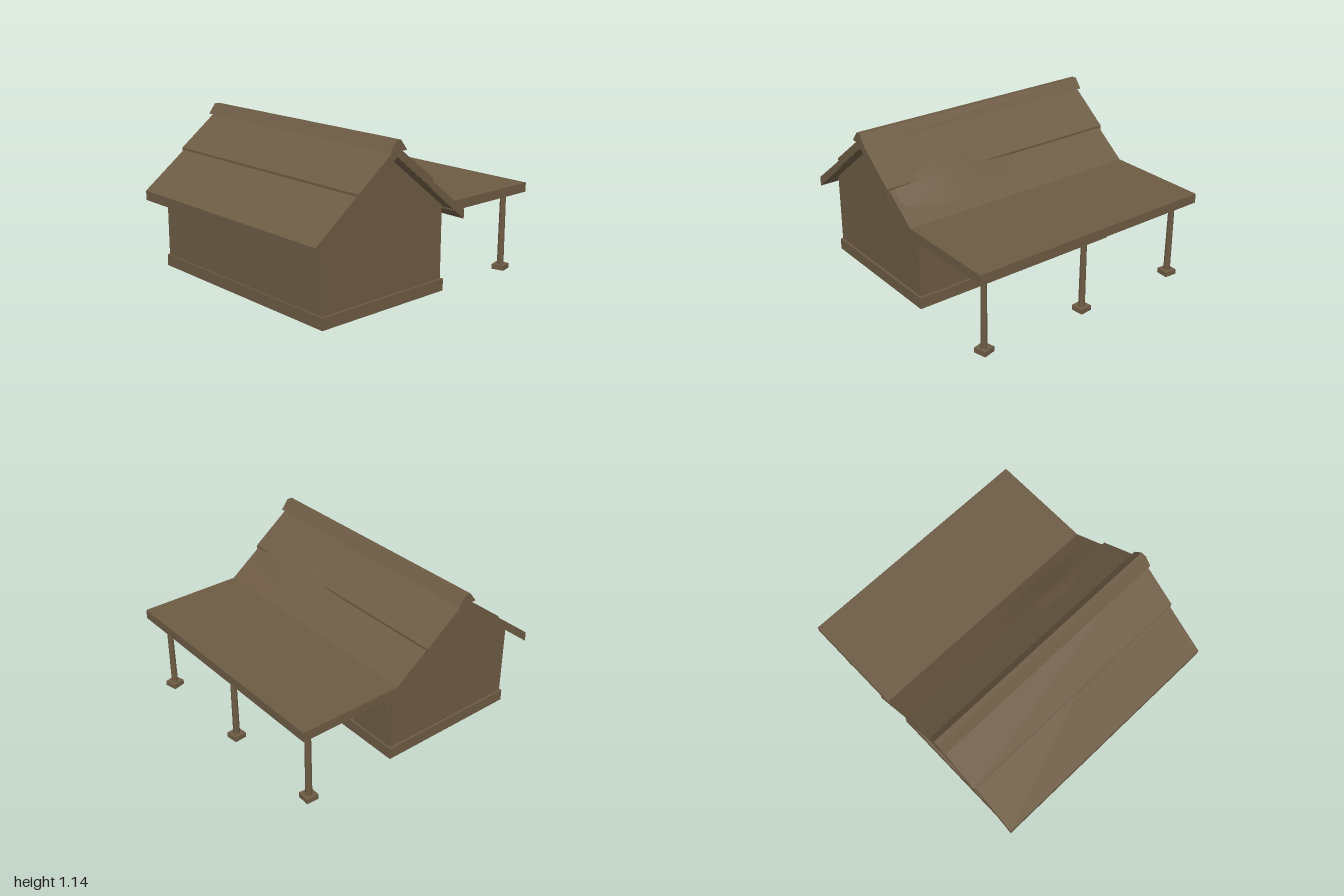
import * as THREE from 'three';

export function createModel() {
  const root = new THREE.Group();
  const wood = new THREE.MeshStandardMaterial({ color: 0x6d5b44, side: THREE.DoubleSide });
  wood.name = 'weatheredBrown';

  const add = (name, geo, x = 0, y = 0, z = 0) => {
    const m = new THREE.Mesh(geo, wood);
    m.name = name;
    m.position.set(x, y, z);
    root.add(m);
    return m;
  };
  // box given by its two extremes on every axis
  const box = (name, x0, x1, y0, y1, z0, z1) =>
    add(name, new THREE.BoxGeometry(x1 - x0, y1 - y0, z1 - z0), (x0 + x1) / 2, (y0 + y1) / 2, (z0 + z1) / 2);
  // profile of [z, y] points extruded along x
  const alongX = (name, pts, x0, x1) => {
    const shape = new THREE.Shape(pts.map(p => new THREE.Vector2(...p)));
    const geo = new THREE.ExtrudeGeometry(shape, { depth: x1 - x0, bevelEnabled: false });
    geo.rotateY(-Math.PI / 2).translate(x1, 0, 0);
    return add(name, geo);
  };
  const rect = (C, x0, x1, y0, y1) =>
    new C([[x0, y0], [x1, y0], [x1, y1], [x0, y1]].map(p => new THREE.Vector2(...p)));

  const MID = 0.335, BACK = -0.2, FRONT = 0.875, T = 0.04;

  // gable end walls
  const gable = [[BACK, 0], [FRONT, 0], [FRONT, 0.615], [MID, 1.045], [BACK, 0.615]];
  alongX('leftGableWall', gable, 0.85 - T, 0.85);
  alongX('rightGableWall', gable, -0.85, -0.85 + T);

  // long walls, the back one with a doorway and a window opening
  box('frontWall', -0.85 + T, 0.85 - T, 0, 0.615, FRONT - T, FRONT);
  const wall = rect(THREE.Shape, -0.85 + T, 0.85 - T, 0, 0.615);
  wall.holes.push(rect(THREE.Path, -0.46, -0.22, 0.08, 0.5), rect(THREE.Path, 0.27, 0.45, 0.36, 0.52));
  add('backWall', new THREE.ExtrudeGeometry(wall, { depth: T, bevelEnabled: false }), 0, 0, BACK);

  // window frame, bars and sill
  const frame = rect(THREE.Shape, 0.255, 0.465, 0.345, 0.53);
  frame.holes.push(rect(THREE.Path, 0.28, 0.44, 0.365, 0.51));
  add('windowFrame', new THREE.ExtrudeGeometry(frame, { depth: 0.04, bevelEnabled: false }), 0, 0, -0.211);
  box('windowBarUpright', 0.353, 0.367, 0.365, 0.51, -0.2, -0.18);
  box('windowBarCross', 0.28, 0.44, 0.431, 0.444, -0.2, -0.18);
  box('windowSill', 0.245, 0.475, 0.34, 0.352, -0.218, -0.19);

  // open-bottomed plinth around the walls
  const plinth = rect(THREE.Shape, -0.865, 0.865, -0.885, 0.215);
  plinth.holes.push(rect(THREE.Path, -0.835, 0.835, -0.855, 0.185));
  add('plinth', new THREE.ExtrudeGeometry(plinth, { depth: 0.085, bevelEnabled: false }).rotateX(-Math.PI / 2));

  // two overlapping roof layers and the ridge cap
  const chevron = (half, topEdge, topPeak, lowEdge, lowPeak) => [
    [MID + half, lowEdge], [MID + half, topEdge], [MID, topPeak],
    [MID - half, topEdge], [MID - half, lowEdge], [MID, lowPeak]];
  alongX('lowerRoof', chevron(0.665, 0.575, 1.08, 0.505, 1.03), -0.935, 0.935);
  alongX('upperRoof', chevron(0.33, 0.845, 1.098, 0.771, 1.031), -0.95, 0.95);
  alongX('ridgeCap', [[0.41, 1.068], [0.355, 1.14], [0.315, 1.14], [0.26, 1.068]], -0.96, 0.96);

  // uneven bulge in the back slope, sinking into the roof at its borders
  const sag = new THREE.PlaneGeometry(1.8, 0.5, 12, 8).rotateX(-Math.PI / 2).translate(0, 0, 0.04);
  const p = sag.attributes.position;
  for (let i = 0; i < p.count; i++) {
    const x = p.getX(i), z = p.getZ(i);
    const bulge = Math.exp(-(((x - 0.45) / 0.4) ** 2) - ((z - 0.02) / 0.13) ** 2);
    p.setY(i, 0.832 + z * 0.755 - 0.012 + 0.034 * bulge);
  }
  sag.computeVertexNormals();
  add('roofBulge', sag);

  // porch roof, beam and posts on square feet
  box('porchRoof', -0.935, 0.935, 0.58, 0.648, -1, -0.22);
  box('porchBeam', -0.9, 0.9, 0.568, 0.585, -0.905, -0.862);
  [-0.825, 0, 0.825].forEach((x, i) => {
    const post = add('porchPost', new THREE.CylinderGeometry(0.021, 0.024, 0.56, 8).toNonIndexed(), x, 0.3, -0.885);
    post.geometry.computeVertexNormals();
    post.rotation.y = i * 0.3;
    const foot = add('postFoot', new THREE.BoxGeometry(0.092, 0.036, 0.092), x, 0.018, -0.885);
    foot.rotation.y = 0.15 * (i - 1) + 0.1;
  });

  return root;
}
